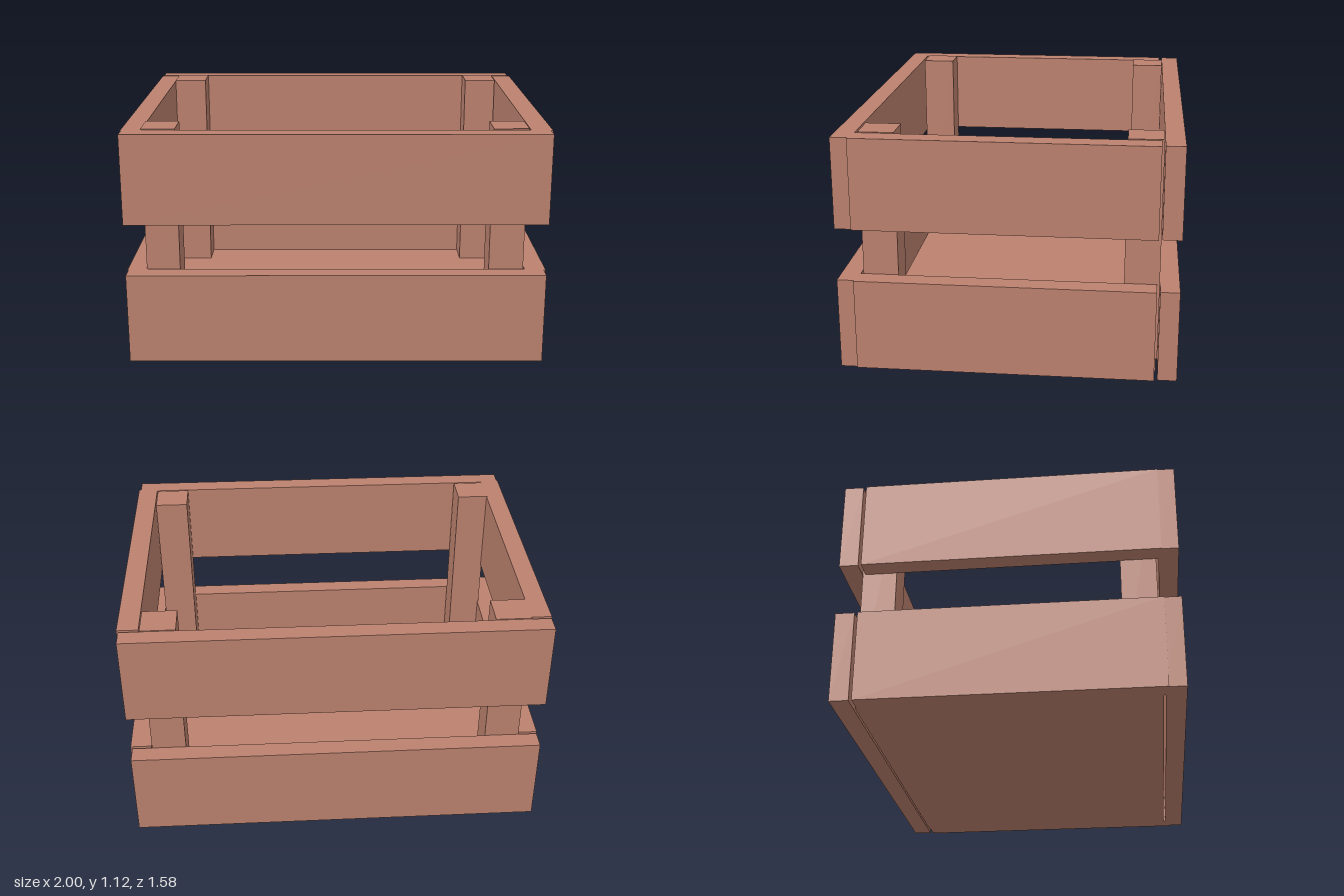
import * as THREE from 'three';

export function createModel() {
  const crate = new THREE.Group();
  crate.name = 'crate';
  const wood = new THREE.MeshStandardMaterial({ color: 0xbc816e, flatShading: true });

  // Box given by its extents on each axis
  function board(name, [x0, x1], [y0, y1], [z0, z1]) {
    const mesh = new THREE.Mesh(new THREE.BoxGeometry(x1 - x0, y1 - y0, z1 - z0), wood);
    mesh.position.set((x0 + x1) / 2, (y0 + y1) / 2, (z0 + z1) / 2);
    mesh.name = name;
    crate.add(mesh);
  }

  // Two rings of slats, with the long ones closing the ends of the side ones
  for (const [level, y] of [['lower', [0, 0.438]], ['upper', [0.688, 1.12]]]) {
    board(level + 'FrontSlat', [-0.995, 0.99], y, [0.695, 0.787]);
    board(level + 'BackSlat', [-0.995, 0.99], y, [-0.79, -0.7]);
    board(level + 'LeftSlat', [0.9, 1], y, [-0.685, 0.708]);
    board(level + 'RightSlat', [-1, -0.905], y, [-0.685, 0.708]);
  }

  // Floor panel
  board('floor', [-0.905, 0.9], [0, 0.06], [-0.692, 0.685]);

  // Corner posts standing on the floor, a hair taller than the slats
  const postY = [0.06, 1.123];
  board('frontLeftPost', [0.73, 0.895], postY, [0.517, 0.683]);
  board('frontRightPost', [-0.91, -0.75], postY, [0.517, 0.683]);
  board('backLeftPost', [0.73, 0.895], postY, [-0.698, -0.535]);
  board('backRightPost', [-0.905, -0.738], postY, [-0.698, -0.535]);

  return crate;
}
